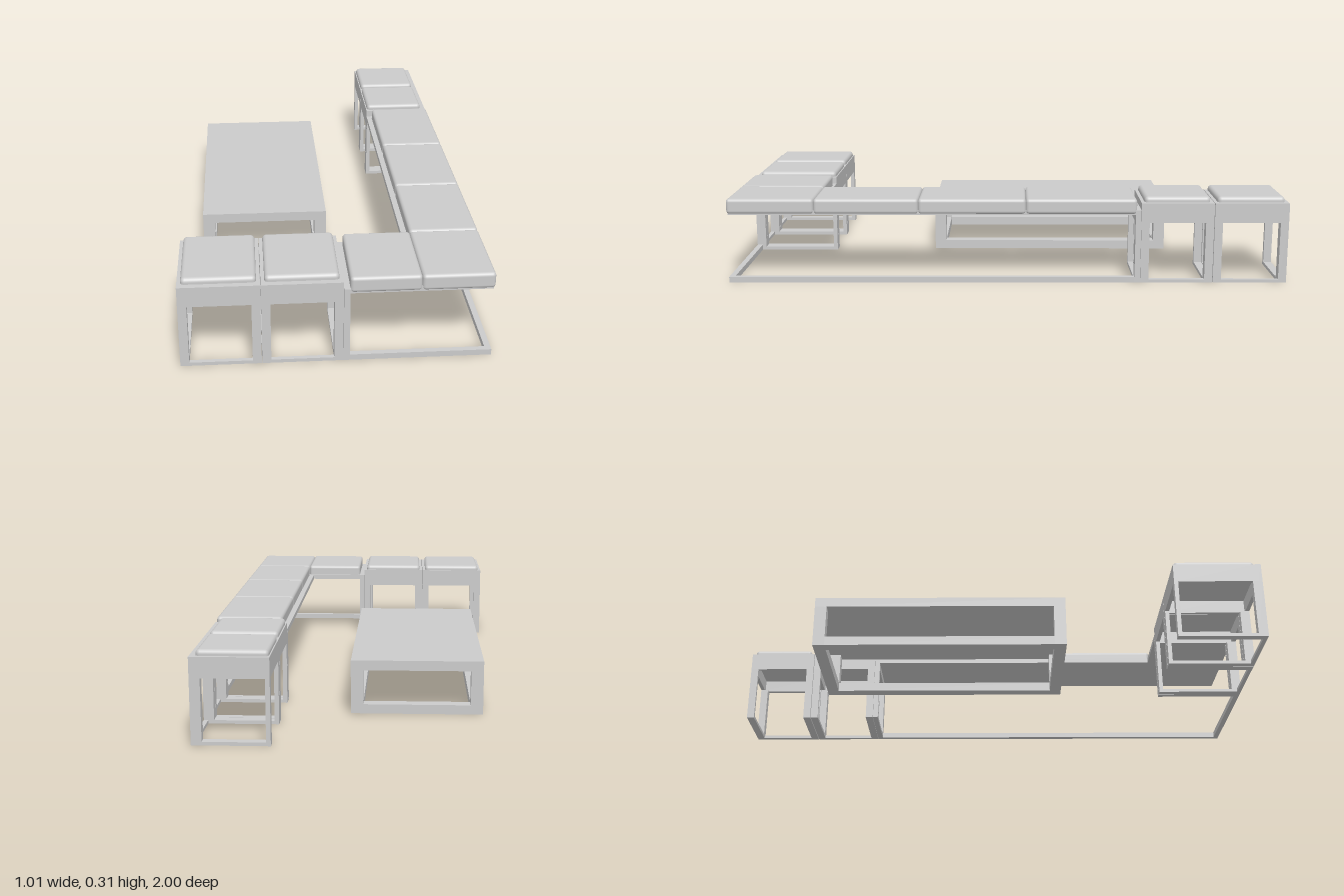
import * as THREE from 'three';
import { RoundedBoxGeometry } from 'three/addons/geometries/RoundedBoxGeometry.js';

const material = new THREE.MeshStandardMaterial({ color: 0xcccccc });

// Box given by its limits; a radius makes it a soft cushion
function block(parent, name, [x0, x1], [y0, y1], [z0, z1], radius = 0) {
  const size = [x1 - x0, y1 - y0, z1 - z0];
  const geometry = radius
    ? new RoundedBoxGeometry(...size, 3, radius)
    : new THREE.BoxGeometry(...size);
  const mesh = new THREE.Mesh(geometry, material);
  mesh.name = name;
  mesh.position.set((x0 + x1) / 2, (y0 + y1) / 2, (z0 + z1) / 2);
  parent.add(mesh);
  return mesh;
}

function group(parent, name) {
  const g = new THREE.Group();
  g.name = name;
  parent.add(g);
  return g;
}

// One wing: "along" runs with the wing, "depth" from its inner to its outer side
function wing(parent, name, alongX, [inner, outer], ends) {
  const g = group(parent, name);
  const put = (part, along, y, depth, r) =>
    alongX ? block(g, part, along, y, depth, r) : block(g, part, depth, y, along, r);

  // Leg loop across the wing: slim inner leg, wider outer leg, floor rail
  const legLoop = (a0, a1, top) => {
    put('innerLeg', [a0, a1], [0, top], [inner, inner + 0.015]);
    put('outerLeg', [a0, a1], [0, top], [outer - 0.035, outer]);
    put('floorRail', [a0, a1], [0, 0.012], [inner + 0.015, outer - 0.035]);
  };

  const leg = 0.029;
  for (let i = 0; i < 2; i++) {
    const [a0, a1] = [ends[i] + 0.001, ends[i + 1] - 0.001];
    legLoop(a0, a0 + leg, 0.22);
    legLoop(a1 - leg, a1, 0.22);
    // Apron ring and seat panel
    put('innerApron', [a0, a1], [0.22, 0.29], [inner, inner + 0.015]);
    put('outerApron', [a0, a1], [0.22, 0.29], [outer - 0.015, outer]);
    put('endApron', [a0, a0 + 0.015], [0.22, 0.29], [inner + 0.015, outer - 0.015]);
    put('endApron', [a1 - 0.015, a1], [0.22, 0.29], [inner + 0.015, outer - 0.015]);
    put('seatPanel', [a0 + 0.015, a1 - 0.015], [0.27, 0.29], [inner + 0.015, outer - 0.015]);
    put('outerFloorRail', [a0 + leg, a1 - leg], [0, 0.012], [outer - 0.015, outer]);
    put('seatCushion', [a0 + 0.012, a1 - 0.012], [0.275, 0.31], [inner + 0.004, outer - 0.02], 0.014);
  }

  // Lower leg loop that carries the end of the bench
  const b = ends[2];
  legLoop(b, b + 0.02, 0.265);
  put('benchEndRail', [b, b + 0.02], [0.22, 0.265], [inner + 0.015, outer - 0.035]);
}

export function createModel() {
  const model = new THREE.Group();
  model.name = 'cornerSeatingWithTable';

  // Stools at both ends of the corner bench
  wing(model, 'frontStools', true, [0.68, 1], [-0.51, -0.245, 0.02]);
  wing(model, 'backStools', false, [0.25, 0.506], [-1, -0.735, -0.475]);

  // Corner bench: base panels, cushions, floor rail on the outer side
  const bench = group(model, 'cornerBench');
  block(bench, 'frontBasePanel', [0.04, 0.5], [0.247, 0.265], [0.68, 0.995]);
  block(bench, 'sideBasePanel', [0.25, 0.5], [0.247, 0.265], [-0.455, 0.68]);
  block(bench, 'benchCushion', [0.04, 0.27], [0.25, 0.305], [0.69, 1], 0.012);
  const joints = [-0.46, -0.065, 0.318, 0.69, 1];
  for (let i = 0; i < 4; i++) {
    block(bench, 'benchCushion', [0.27, 0.506], [0.25, 0.305], [joints[i], joints[i + 1]], 0.012);
  }
  block(bench, 'frontFloorRail', [0.04, 0.506], [0, 0.02], [0.98, 1]);
  block(bench, 'sideFloorRail', [0.486, 0.506], [0, 0.02], [-0.455, 0.98]);

  // Low table: top slab, legs, floor ring
  const table = group(model, 'lowTable');
  const [x0, x1, z0, z1, t] = [-0.445, 0.015, -0.625, 0.29, 0.043];
  block(table, 'tableTop', [x0, x1], [0.155, 0.19], [z0, z1]);
  for (const x of [x0, x1 - t]) {
    for (const z of [z0, z1 - t]) block(table, 'tableLeg', [x, x + t], [0, 0.155], [z, z + t]);
    block(table, 'tableSideRail', [x, x + t], [0, 0.033], [z0 + t, z1 - t]);
  }
  for (const z of [z0, z1 - t]) {
    block(table, 'tableEndRail', [x0 + t, x1 - t], [0, 0.033], [z, z + t]);
  }
  return model;
}
